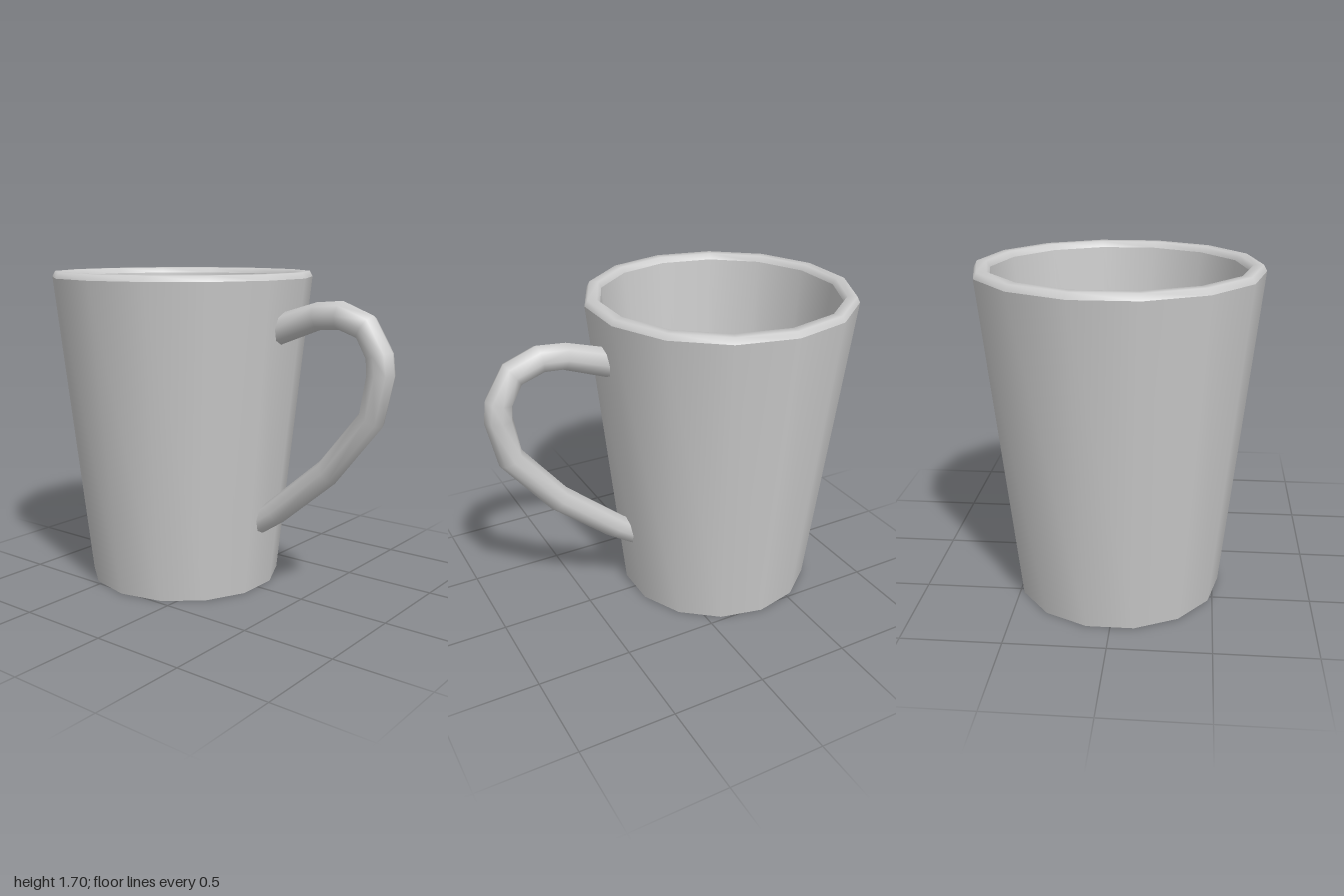
import * as THREE from 'three';

const SIDES = 14;
const CUP_X = -0.305;
const material = new THREE.MeshStandardMaterial({ color: 0xcccccc, side: THREE.DoubleSide });

// One smooth turned band of the cup, from [radius, height] points
function band(name, profile) {
  const points = profile.map(([r, y]) => new THREE.Vector2(r, y));
  const mesh = new THREE.Mesh(new THREE.LatheGeometry(points, SIDES), material);
  mesh.name = name;
  return mesh;
}

// Tube swept through rings given by their outer and inner edge in the xy plane
function sweep(rings, halfWidth, sides) {
  const positions = [], index = [];
  rings.forEach(([ox, oy, ix, iy], i) => {
    for (let j = 0; j < sides; j++) {
      const a = (j / sides) * Math.PI * 2, c = Math.cos(a) / 2;
      positions.push(
        (ox + ix) / 2 + (ox - ix) * c,
        (oy + iy) / 2 + (oy - iy) * c,
        halfWidth * Math.sin(a)
      );
      if (i === rings.length - 1) continue;
      const p = i * sides + j, q = i * sides + (j + 1) % sides;
      index.push(p, q, p + sides, q, q + sides, p + sides);
    }
  });
  const geometry = new THREE.BufferGeometry();
  geometry.setAttribute('position', new THREE.Float32BufferAttribute(positions, 3));
  geometry.setIndex(index);
  geometry.computeVertexNormals();
  return geometry;
}

export function createModel() {
  const mug = new THREE.Group();
  mug.name = 'mug';

  // Tapered cup, split into bands so the edges between them stay sharp
  const cup = new THREE.Group();
  cup.name = 'cup';
  cup.position.x = CUP_X;
  cup.add(
    band('base', [[0, 0], [0.53, 0]]),
    band('outerWall', [[0.53, 0], [0.71, 1.67]]),
    band('rim', [[0.71, 1.67], [0.694, 1.7], [0.646, 1.7], [0.63, 1.67]]),
    band('innerWall', [[0.63, 1.67], [0.474, 0.06]]),
    band('floor', [[0.474, 0.06], [0, 0.06]])
  );
  mug.add(cup);

  // Handle, with both ends buried in the wall
  const handle = new THREE.Mesh(sweep([
    [0.32, 1.487, 0.31, 1.32],
    [0.375, 1.51, 0.36, 1.345],
    [0.56, 1.565, 0.585, 1.43],
    [0.71, 1.578, 0.69, 1.437],
    [0.88, 1.515, 0.80, 1.40],
    [0.985, 1.345, 0.85, 1.31],
    [1.0, 1.235, 0.855, 1.235],
    [0.945, 0.985, 0.825, 1.05],
    [0.69, 0.665, 0.60, 0.77],
    [0.38, 0.405, 0.275, 0.495],
    [0.22, 0.30, 0.21, 0.45],
  ], 0.07, 8), material);
  handle.name = 'handle';
  mug.add(handle);

  return mug;
}
